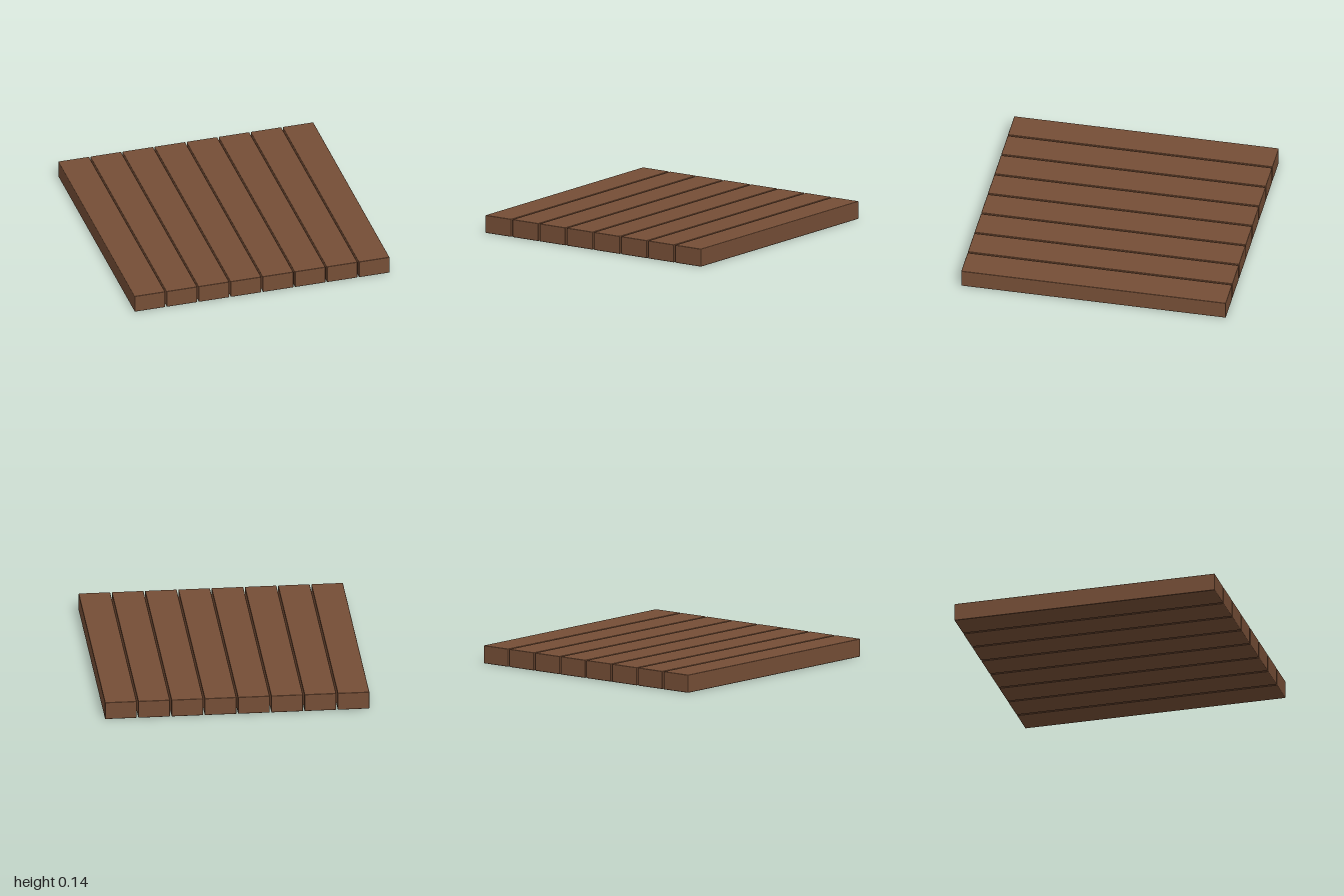
import * as THREE from 'three';
import { RoundedBoxGeometry } from 'three/addons/geometries/RoundedBoxGeometry.js';

const COUNT = 8, PITCH = 0.2474, WIDTH = 0.236, HEIGHT = 0.135, LENGTH = 2;

export function createModel() {
  const model = new THREE.Group();
  model.name = 'plankDeck';

  const wood = new THREE.MeshStandardMaterial({ color: 0x754e36 });
  // One plank with slightly eased edges, shared by the whole row
  const plankGeometry = new RoundedBoxGeometry(WIDTH, HEIGHT, LENGTH, 2, 0.006);

  // Row of planks separated by narrow gaps
  for (let i = 0; i < COUNT; i++) {
    const plank = new THREE.Mesh(plankGeometry, wood);
    plank.name = `plank${i + 1}`;
    plank.position.set((i - (COUNT - 1) / 2) * PITCH, HEIGHT / 2, 0);
    model.add(plank);
  }
  return model;
}
